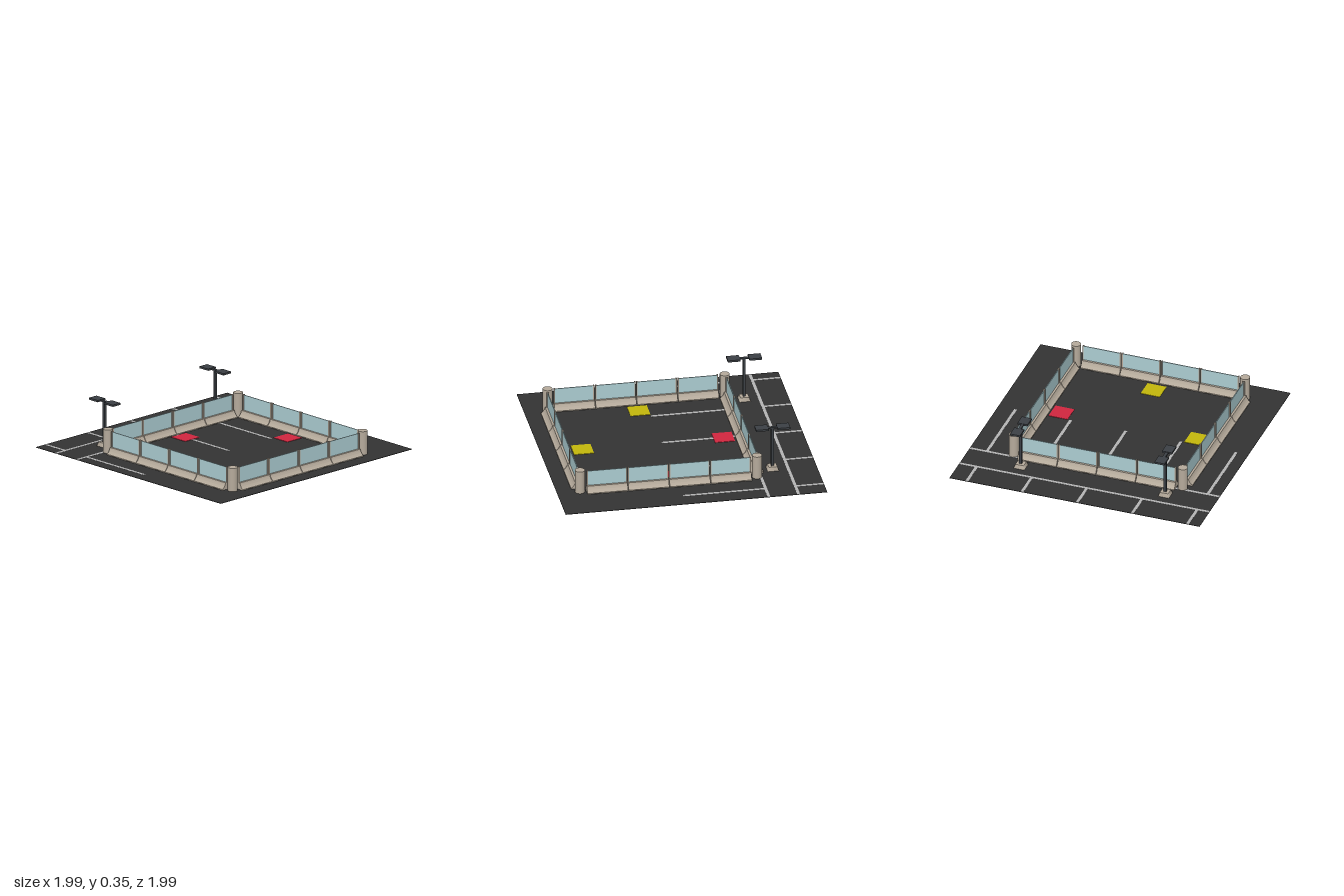
import * as THREE from 'three';

const mat = (color) => new THREE.MeshStandardMaterial({ color });
const M = {
  asphalt: mat(0x333333), line: mat(0xb4b4b4), red: mat(0xd0263f), yellow: mat(0xc2b60c),
  concrete: mat(0xb5aa9b), slot: mat(0x6b645a), glass: mat(0xaccdd2), metal: mat(0x3c4045),
};

function add(parent, name, geometry, material, x = 0, y = 0, z = 0) {
  const mesh = new THREE.Mesh(geometry, material);
  mesh.name = name;
  mesh.position.set(x, y, z);
  parent.add(mesh);
  return mesh;
}
const box = (w, h, d) => new THREE.BoxGeometry(w, h, d);

function group(parent, name, x = 0, z = 0, turn = 0) {
  const g = new THREE.Group();
  g.name = name;
  g.position.set(x, 0, z);
  g.rotation.y = turn;
  parent.add(g);
  return g;
}

// Flared barrier foot, extruded along x
function footGeometry(length) {
  const half = [[0.05, 0], [0.05, 0.01], [0.04, 0.017], [0.03, 0.029], [0.023, 0.042], [0.019, 0.054]];
  const points = [...half, ...half.map(([x, y]) => [-x, y]).reverse()];
  const shape = new THREE.Shape(points.map(([x, y]) => new THREE.Vector2(x, y)));
  const g = new THREE.ExtrudeGeometry(shape, { depth: length, bevelEnabled: false });
  g.translate(0, 0, -length / 2);
  g.rotateY(Math.PI / 2);
  return g;
}

// Parking lot with painted bays
function buildLot(root) {
  const lot = group(root, 'parkingLot', 0, 0, 0.0308);
  const size = 1.936, top = 0.003;
  add(lot, 'asphalt', box(size, top, size), M.asphalt, 0, top / 2, 0);
  for (const v of [-0.757, -0.537]) {
    add(lot, 'laneLine', box(size, 0.001, 0.022), M.line, 0, top + 0.0005, v);
  }
  for (let i = -2; i <= 2; i++) {
    const u = -0.02 + i * 0.427;
    add(lot, 'upperBayLine', box(0.022, 0.001, 0.2), M.line, u, top + 0.0005, -0.867);
    add(lot, 'lowerBayLine', box(0.022, 0.001, 0.6), M.line, u, top + 0.0005, -0.228);
  }
}

// One barrier segment: foot, glass pane and end posts
function buildSegment(parent, x) {
  const seg = group(parent, 'barrierSegment', x);
  const length = 0.3;
  add(seg, 'barrierFoot', footGeometry(length), M.concrete);
  for (const sx of [-0.075, 0.075]) {
    add(seg, 'liftSlot', box(0.05, 0.006, 0.1012), M.slot, sx, 0.006, 0);
  }
  add(seg, 'glassPane', box(length - 0.016, 0.118, 0.006), M.glass, 0, 0.111, 0);
  for (const s of [-1, 1]) {
    add(seg, 'panePost', box(0.009, 0.122, 0.016), M.concrete, s * (length / 2 - 0.005), 0.112, 0);
  }
}

// Square arena: four walls of four segments, with round corner pillars
function buildArena(root) {
  const arena = group(root, 'arena', -0.0175, 0.1425, 0.0265);
  const half = 0.655;
  for (let side = 0; side < 4; side++) {
    const wall = group(arena, 'wall', 0, 0, side * Math.PI / 2);
    const run = group(wall, 'wallRun', 0, half + 0.007);
    for (let i = 0; i < 4; i++) buildSegment(run, (i - 1.5) * 0.305);
    add(wall, 'cornerPillar', new THREE.CylinderGeometry(0.036, 0.036, 0.18, 24), M.concrete, half, 0.09, half);
  }
  // Coloured floor squares
  const pads = [[0, -0.525, M.red], [0.527, 0, M.red], [-0.523, 0.005, M.yellow], [0.004, 0.518, M.yellow]];
  for (const [x, z, m] of pads) add(arena, 'floorPad', box(0.147, 0.003, 0.147), m, x, 0.0045, z);
}

// Twin-headed lamp post on a concrete plinth
function buildLamp(root, x, z) {
  const lamp = group(root, 'lampPost', x, z, 0.0308);
  const plinth = new THREE.CylinderGeometry(0.045, 0.06, 0.032, 4);
  plinth.rotateY(Math.PI / 4);
  add(lamp, 'plinth', plinth, M.concrete, 0, 0.017, 0);
  add(lamp, 'pole', box(0.02, 0.31, 0.02), M.metal, 0, 0.187, 0);
  add(lamp, 'crossArm', box(0.022, 0.01, 0.1), M.metal, 0, 0.341, 0);
  for (const s of [-1, 1]) {
    add(lamp, 'lampHead', box(0.077, 0.014, 0.093), M.metal, 0, 0.342, s * 0.08);
  }
}

export function createModel() {
  const root = new THREE.Group();
  root.name = 'fencedArena';
  buildLot(root);
  buildArena(root);
  buildLamp(root, -0.605, -0.625);
  buildLamp(root, 0.513, -0.659);
  return root;
}
